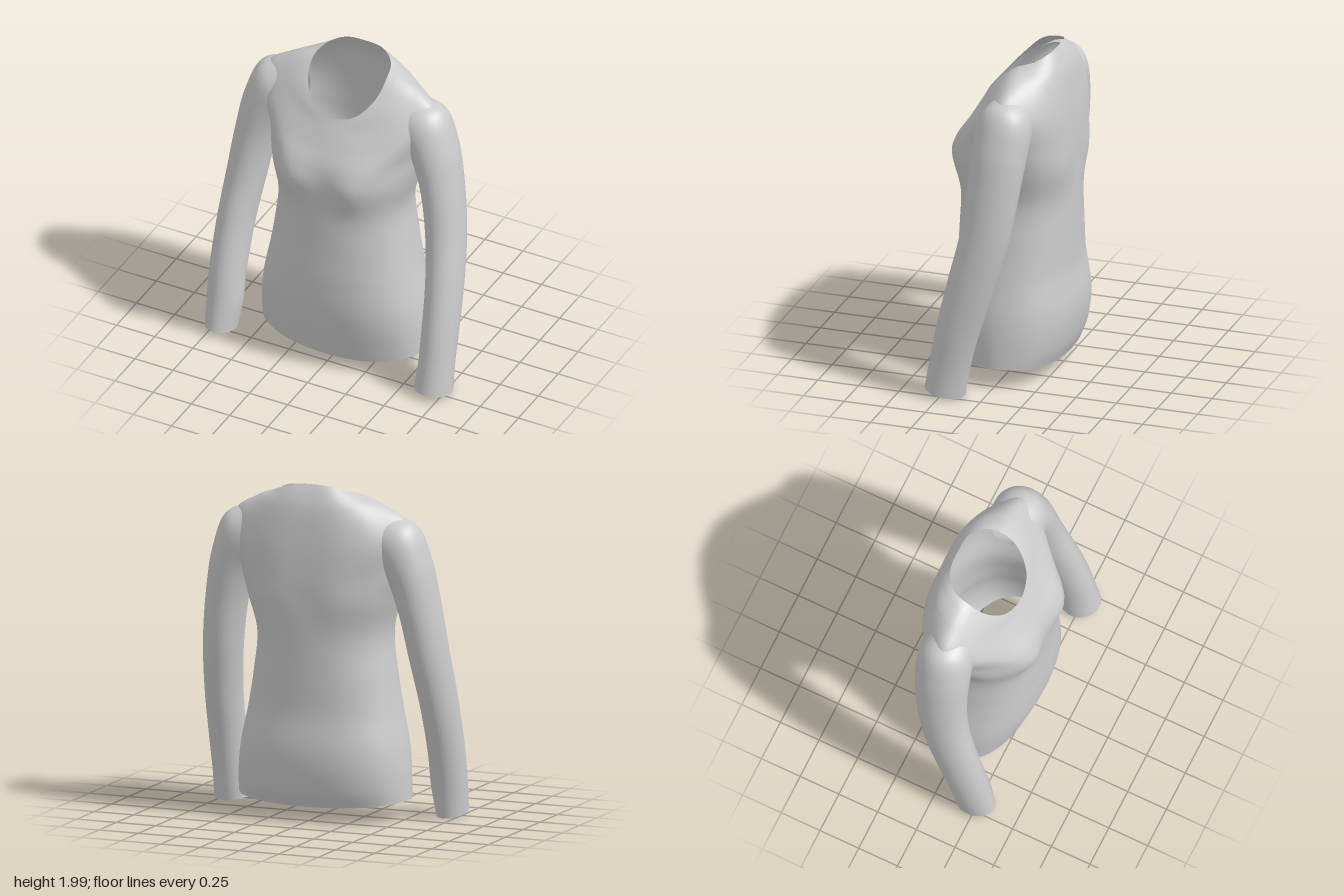
import * as THREE from 'three';

const V = (x, y, z) => new THREE.Vector3(x, y, z);
const SIDES = 64;

// Smooth open tube through closed rings of equal point count, lowest ring first
function loft(name, rings, rows, material) {
  const pos = [], index = [];
  const columns = rings[0].map((_, i) => new THREE.CatmullRomCurve3(rings.map(r => r[i])));
  const n = columns.length;
  for (let j = 0; j <= rows; j++) {
    for (const c of columns) pos.push(...c.getPoint(j / rows).toArray());
  }
  for (let j = 0; j < rows; j++) {
    for (let i = 0; i < n; i++) {
      const a = j * n + i, b = j * n + (i + 1) % n;
      index.push(a, a + n, b, b, a + n, b + n);
    }
  }
  const g = new THREE.BufferGeometry();
  g.setAttribute('position', new THREE.Float32BufferAttribute(pos, 3));
  g.setIndex(index);
  g.computeVertexNormals();
  const mesh = new THREE.Mesh(g, material);
  mesh.name = name;
  return mesh;
}

// Closed ring from seven half points: back centre, round the +x side, to front centre
function mirroredRing(half) {
  const pts = half.map(p => V(...p));
  for (let k = 5; k > 0; k--) pts.push(V(-half[k][0], half[k][1], half[k][2]));
  const curve = new THREE.CatmullRomCurve3(pts, true);
  return Array.from({ length: SIDES }, (_, i) => curve.getPoint(i / SIDES));
}

// Rounded body section; the y of back, side and front may differ
function bodyRing([yBack, ySide, yFront, w, zFront, zBack]) {
  const half = [];
  for (let k = 0; k <= 6; k++) {
    const t = k * Math.PI / 6, c = -Math.cos(t), s = Math.sin(t);
    const d = Math.abs(c) < 1e-6 ? 0 : Math.pow(Math.abs(c), 0.88);
    const y = ySide + ((c < 0 ? yBack : yFront) - ySide) * d * d;
    half.push([k % 6 ? w * Math.pow(s, 0.88) : 0, y, d * (c < 0 ? zBack : zFront)]);
  }
  return mirroredRing(half);
}

function torso(material) {
  // hem, hips and waist
  const lower = [
    [0.105, 0.135, 0.09, 0.53, 0.285, -0.30],
    [0.19, 0.21, 0.18, 0.527, 0.305, -0.335],
    [0.32, 0.32, 0.32, 0.52, 0.335, -0.36],
    [0.45, 0.45, 0.45, 0.503, 0.355, -0.363],
    [0.65, 0.65, 0.65, 0.46, 0.36, -0.338],
    [0.85, 0.85, 0.85, 0.425, 0.352, -0.335],
    [1.1, 1.1, 1.1, 0.40, 0.348, -0.335],
  ].map(bodyRing);
  // bust, chest, shoulders and scooped neckline
  const upper = [
    [[0, 1.32, -0.335], [0.23, 1.32, -0.325], [0.39, 1.32, -0.22], [0.455, 1.32, -0.03],
      [0.405, 1.32, 0.17], [0.21, 1.33, 0.366], [0, 1.33, 0.352]],
    [[0, 1.45, -0.335], [0.24, 1.45, -0.32], [0.42, 1.47, -0.22], [0.51, 1.5, -0.05],
      [0.45, 1.47, 0.1], [0.25, 1.44, 0.325], [0, 1.44, 0.33]],
    [[0, 1.66, -0.32], [0.25, 1.66, -0.305], [0.44, 1.68, -0.22], [0.545, 1.78, -0.06],
      [0.49, 1.68, 0.075], [0.27, 1.57, 0.235], [0, 1.55, 0.275]],
    [[0, 1.87, -0.285], [0.19, 1.87, -0.27], [0.33, 1.87, -0.19], [0.40, 1.88, -0.06],
      [0.36, 1.79, 0.065], [0.22, 1.675, 0.175], [0, 1.635, 0.227]],
    [[0, 1.95, -0.25], [0.15, 1.945, -0.24], [0.26, 1.93, -0.16], [0.30, 1.915, -0.045],
      [0.27, 1.82, 0.07], [0.165, 1.715, 0.165], [0, 1.675, 0.203]],
    [[0, 2, -0.22], [0.125, 1.992, -0.208], [0.21, 1.96, -0.145], [0.24, 1.925, -0.035],
      [0.22, 1.83, 0.07], [0.135, 1.735, 0.158], [0, 1.70, 0.19]],
  ].map(mirroredRing);
  return loft('torso', [...lower, ...upper], 96, material);
}

// Sleeve rings stand square to the arm's path; side is +1 (left) or -1 (right)
function sleeve(side, material) {
  // centre x, y, z, half width, half depth, from cuff to inside the shoulder
  const path = [
    side > 0 ? [0.688, 0.037, 0.238, 0.113, 0.122] : [0.70, 0.037, 0.238, 0.09, 0.122],
    [0.693, 0.2, 0.208, 0.104, 0.122],
    [0.694, 0.4, 0.165, 0.105, 0.128],
    [0.683, 0.7, 0.085, 0.107, 0.14],
    [0.652, 1.0, 0.01, 0.114, 0.148],
    [0.605, 1.3, -0.03, 0.123, 0.157],
    [0.545, 1.52, -0.048, 0.142, 0.165],
    [0.465, 1.66, -0.06, 0.168, 0.16],
    [0.36, 1.72, -0.07, 0.125, 0.125],
  ];
  const centres = path.map(p => V(p[0], p[1], p[2]));
  const rings = path.map(([, , , a, b], j) => {
    const up = centres[Math.min(j + 1, path.length - 1)].clone()
      .sub(centres[Math.max(j - 1, 0)]).normalize();
    const out = up.clone().cross(V(0, 0, 1)).normalize();
    const fwd = out.clone().cross(up);
    return Array.from({ length: 40 }, (_, i) => {
      const t = side * i / 40 * Math.PI * 2;
      const p = centres[j].clone()
        .addScaledVector(out, a * Math.sin(t))
        .addScaledVector(fwd, -b * Math.cos(t));
      p.x *= side;
      return p;
    });
  });
  return loft(side > 0 ? 'leftSleeve' : 'rightSleeve', rings, 64, material);
}

export function createModel() {
  const material = new THREE.MeshStandardMaterial({ color: 0xcccccc, side: THREE.DoubleSide });
  const group = new THREE.Group();
  group.name = 'longSleeveTop';
  group.add(torso(material), sleeve(1, material), sleeve(-1, material));
  return group;
}
